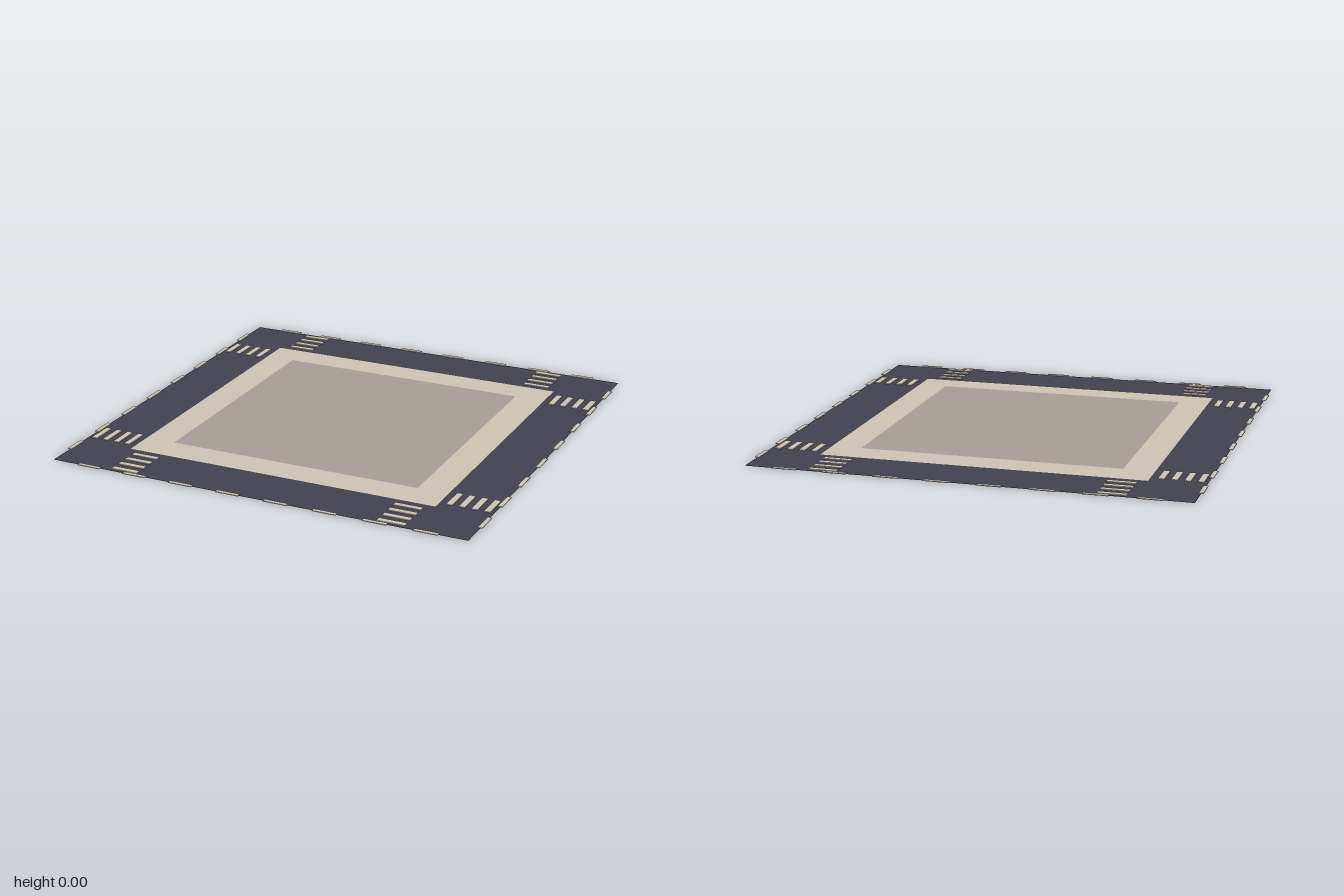
import * as THREE from 'three';

export function createModel() {
  const model = new THREE.Group();
  model.name = 'cityBlock';

  const make = (name, color, side = THREE.FrontSide) => {
    const m = new THREE.MeshStandardMaterial({ color, side });
    m.name = name;
    return m;
  };
  const asphalt = make('asphalt', 0x42404e, THREE.DoubleSide);
  const paleStone = make('paleStone', 0xcbc3b2, THREE.DoubleSide);
  const plotGrey = make('plotGrey', 0xa39d94, THREE.DoubleSide);

  // Flat square sheets: road, pavement and the building plot
  const sheet = (name, size, y, material) => {
    const geometry = new THREE.PlaneGeometry(size, size).rotateX(-Math.PI / 2);
    const mesh = new THREE.Mesh(geometry, material);
    mesh.name = name;
    mesh.position.y = y;
    model.add(mesh);
  };
  sheet('road', 1.98, 0, asphalt);
  sheet('pavement', 1.485, 0.002, paleStone);
  sheet('plot', 1.2, 0.0035, plotGrey);

  // Thin painted road marking
  const marking = (parent, name, w, d, x, z) => {
    const mesh = new THREE.Mesh(new THREE.BoxGeometry(w, 0.0035, d), paleStone);
    mesh.name = name;
    mesh.position.set(x, 0.0022, z);
    parent.add(mesh);
  };

  // The same markings on each of the four streets
  for (let i = 0; i < 4; i++) {
    const street = new THREE.Group();
    street.name = 'streetMarkings';
    street.rotation.y = i * Math.PI / 2;

    // Centre-line dashes along the outer edge
    for (let k = 0; k < 8; k++) {
      marking(street, 'laneDash', 0.11, 0.02, (k - 3.5) * 0.23, 0.99);
    }
    // A crossing of four stripes near each corner
    for (const side of [-1, 1]) {
      for (let k = 0; k < 4; k++) {
        marking(street, 'crossingStripe', 0.128, 0.028, side * 0.638, 0.788 + k * 0.057);
      }
    }
    model.add(street);
  }
  return model;
}
